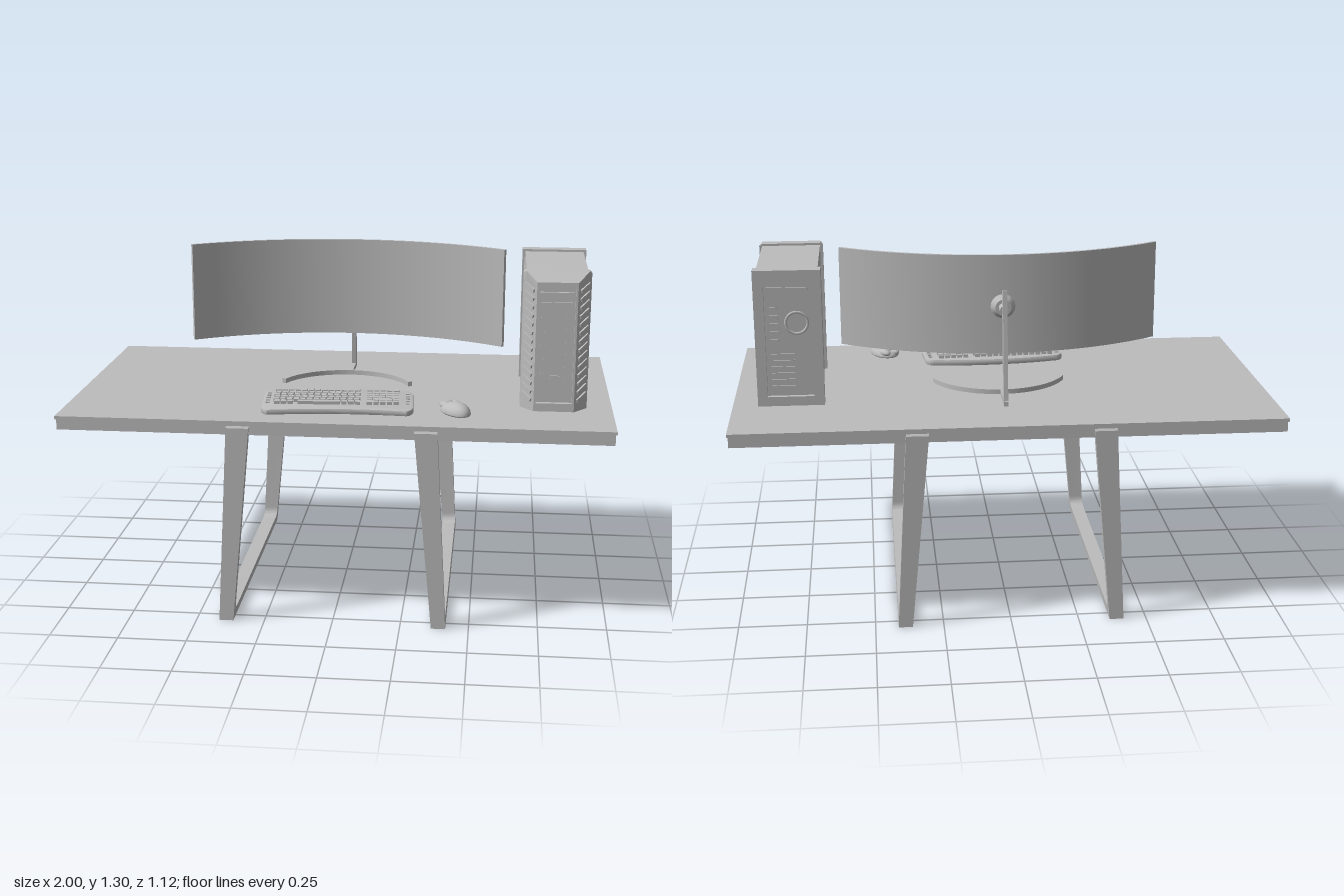
import * as THREE from 'three';
import { mergeGeometries, toCreasedNormals } from 'three/addons/utils/BufferGeometryUtils.js';
import { ConvexGeometry } from 'three/addons/geometries/ConvexGeometry.js';

const grey = new THREE.MeshStandardMaterial({ color: 0xbcbcbc });
grey.name = 'grey';

const DESK = 0.765;
const lerp = THREE.MathUtils.lerp;

function add(parent, name, geometry, x = 0, y = 0, z = 0) {
  const m = new THREE.Mesh(geometry, grey);
  m.name = name;
  m.position.set(x, y, z);
  parent.add(m);
  return m;
}
function group(parent, name) {
  const g = new THREE.Group();
  g.name = name;
  parent.add(g);
  return g;
}
const box = (w, h, d, x = 0, y = 0, z = 0) => new THREE.BoxGeometry(w, h, d).translate(x, y, z);
const poly = (pts) => new THREE.Shape(pts.map((p) => new THREE.Vector2(...p)));
const rect = (x0, y0, x1, y1) => poly([[x0, y0], [x1, y0], [x1, y1], [x0, y1]]);
const extrude = (shape, depth, opts = {}) => toCreasedNormals(
  new THREE.ExtrudeGeometry(shape, { depth, bevelEnabled: false, curveSegments: 32, ...opts }), 0.5);
// Shape drawn in (x, -z), raised along y
const raise = (shape, h, opts) => extrude(shape, h, opts).rotateX(-Math.PI / 2);

function framed(x0, y0, x1, y1, hx0, hy0, hx1, hy1) {
  const s = rect(x0, y0, x1, y1);
  s.holes.push(rect(hx0, hy0, hx1, hy1));
  return s;
}

// Curved strip bulging towards -z
function arcStrip(radius, centreZ, half, thick) {
  const s = new THREE.Shape();
  const a = Math.PI / 2 - half, b = Math.PI / 2 + half;
  s.absarc(0, -centreZ, radius, a, b, false);
  s.absarc(0, -centreZ, radius - thick, b, a, true);
  s.closePath();
  return s;
}

function buildDesk(root) {
  const desk = group(root, 'desk');
  add(desk, 'deskTop', box(2, 0.012, 1.11, 0, DESK - 0.006, 0));
  add(desk, 'deskRim', raise(framed(-0.995, -0.55, 0.995, 0.55, -0.955, -0.51, 0.955, 0.51), 0.04), 0, 0.714, 0);
  // Leg loops, leaning outwards and narrowing to the floor
  for (const side of [-1, 1]) {
    const s = new THREE.Shape();
    s.moveTo(-0.553, 0);
    s.lineTo(0.553, 0);
    s.lineTo(0.56, 0.74);
    s.lineTo(0.555, 0.746);
    s.lineTo(0.53, 0.746);
    s.lineTo(0.522, 0.07);
    s.quadraticCurveTo(0.522, 0.033, 0.485, 0.033);
    s.lineTo(-0.485, 0.033);
    s.quadraticCurveTo(-0.522, 0.033, -0.522, 0.07);
    s.lineTo(-0.53, 0.746);
    s.lineTo(-0.555, 0.746);
    s.lineTo(-0.56, 0.74);
    const g = new THREE.ExtrudeGeometry(s, { depth: 1, bevelEnabled: false, curveSegments: 8 }).rotateY(-Math.PI / 2);
    const p = g.attributes.position;
    for (let i = 0; i < p.count; i++) {
      const f = p.getY(i) / 0.746;
      p.setX(i, side * lerp(0.39, 0.335, f) + (p.getX(i) + 0.5) * lerp(0.052, 0.082, f));
    }
    g.computeVertexNormals();
    add(desk, side > 0 ? 'leftLegLoop' : 'rightLegLoop', toCreasedNormals(g, 0.5));
  }
}

function buildMonitor(root) {
  const mon = group(root, 'monitor');
  add(mon, 'curvedScreen', raise(arcStrip(1.07, 0.88, 0.595, 0.013), 0.372), 0, 0.93, 0);
  add(mon, 'footArc', raise(arcStrip(0.272, 0.1, 1.19, 0.016), 0.018), 0, DESK, 0);
  add(mon, 'footBar', box(0.016, 0.018, 0.16, 0, DESK + 0.009, -0.245));
  const post = poly([[-0.32, DESK], [-0.28, DESK], [-0.234, 1.18], [-0.272, 1.187]]);
  add(mon, 'post', extrude(post, 0.016).rotateY(-Math.PI / 2), 0.008, 0, 0);
  add(mon, 'mount', new THREE.CylinderGeometry(0.047, 0.03, 0.025, 28).rotateX(Math.PI / 2), 0, 1.11, -0.2);
  add(mon, 'mountNeck', new THREE.CylinderGeometry(0.018, 0.018, 0.06, 20).rotateX(Math.PI / 2), 0, 1.11, -0.23);
}

function buildTower(root) {
  const tower = group(root, 'tower');
  tower.position.set(0.785, DESK, 0);
  add(tower, 'case', box(0.222, 0.492, 0.455, 0, 0.254, 0.0));

  // Front bezel: a channel with chamfered corners and a sloping cap
  const channel = poly([[-0.122, -0.222], [0.122, -0.222], [0.122, -0.25], [0.073, -0.312], [0.065, -0.312],
    [0.065, -0.292], [-0.065, -0.292], [-0.065, -0.312], [-0.073, -0.312], [-0.122, -0.25]]);
  add(tower, 'frontBezel', raise(channel, 0.455));
  const cap = [];
  for (const s of [-1, 1]) {
    for (const [x, y, z] of [[0.122, 0.455, 0.222], [0.122, 0.455, 0.25], [0.073, 0.455, 0.312], [0.122, 0.5, 0.222],
      [0.112, 0.508, 0.222], [0.122, 0.5, 0.245], [0.112, 0.508, 0.268], [0.073, 0.475, 0.312]]) {
      cap.push(new THREE.Vector3(s * x, y, z));
    }
  }
  add(tower, 'frontCap', new ConvexGeometry(cap));
  add(tower, 'frontSill', box(0.13, 0.03, 0.022, 0, 0.015, 0.3));
  add(tower, 'frontDoor', extrude(poly([[-0.05, 0.05], [0.05, 0.05], [0.056, 0.4], [-0.056, 0.4]]), 0.008), 0, 0, 0.292);
  add(tower, 'driveTray', box(0.12, 0.025, 0.014, 0, 0.425, 0.298));
  add(tower, 'powerButton', box(0.034, 0.034, 0.008, 0, 0.115, 0.303));
  for (const s of [-1, 1]) {
    add(tower, 'doorRib', box(0.006, 0.3, 0.008, s * 0.038, 0.24, 0.302));
    // Slanted vent slats on the chamfered corners
    for (let i = 0; i < 14; i++) {
      const slat = add(tower, 'ventSlat', box(0.056, 0.013, 0.01), s * 0.0985, 0.05 + i * 0.031, 0.282);
      slat.rotation.set(0, Math.atan2(-0.062, -s * 0.049), -0.4);
    }
    // Stepped slots on the side panels
    for (let i = 0; i < 3; i++) {
      const z = -0.018 - i * 0.058, top = 0.3 + i * 0.07;
      const slot = framed(0, 0, 0, 0, 0, 0, 0, 0);
      slot.holes = [];
      slot.setFromPoints([[z, 0.035], [z, top], [z - 0.03, top + 0.045], [z - 0.03, 0.035]].map((p) => new THREE.Vector2(...p)));
      const t = 0.006;
      add(tower, 'sideSlot', extrude(slot, t).rotateY(-Math.PI / 2), s * 0.112 + t / 2, 0, 0);
    }
  }

  // Rear frame around a recessed panel
  add(tower, 'rearFrame', extrude(framed(-0.122, 0, 0.122, 0.508, -0.085, 0.035, 0.085, 0.45), 0.05), 0, 0, -0.245);
  const ports = [];
  for (let i = 0; i < 5; i++) ports.push(box(0.03, 0.022, 0.008, 0.052, 0.24 + i * 0.03, -0.23));
  for (let i = 0; i < 6; i++) ports.push(box(0.085, 0.009, 0.006, 0.025, 0.07 + i * 0.024, -0.23));
  add(tower, 'rearPorts', mergeGeometries(ports));
  add(tower, 'powerSupply', box(0.15, 0.045, 0.008, 0, 0.42, -0.23));
  add(tower, 'rearFan', new THREE.TorusGeometry(0.04, 0.005, 8, 28), -0.03, 0.31, -0.229);
}

function buildKeyboard(root) {
  const kb = group(root, 'keyboard');
  kb.position.set(0, 0.773, 0.315);
  kb.rotation.set(0.06, 0.06, 0, 'YXZ');
  const s = new THREE.Shape();
  s.moveTo(-0.25, -0.122);
  s.quadraticCurveTo(0, -0.085, 0.25, -0.122);
  s.quadraticCurveTo(0.275, -0.11, 0.27, -0.05);
  s.lineTo(0.27, 0.07);
  s.quadraticCurveTo(0.265, 0.1, 0.24, 0.103);
  s.bezierCurveTo(0.1, 0.14, -0.1, 0.14, -0.24, 0.103);
  s.quadraticCurveTo(-0.265, 0.1, -0.27, 0.07);
  s.lineTo(-0.27, -0.05);
  s.quadraticCurveTo(-0.275, -0.11, -0.25, -0.122);
  add(kb, 'keyboardBody', raise(s, 0.014, {
    curveSegments: 10, bevelEnabled: true, bevelThickness: 0.005, bevelSize: 0.006, bevelSegments: 2,
  }));
  // Main block and number pad; the last row carries the space bar
  const keys = [];
  const key = (x, z, w) => keys.push(box(w, 0.013, 0.019, x, 0.024, z));
  for (let r = 0; r < 6; r++) {
    const z = -0.078 + r * 0.025 + (r ? 0.006 : 0);
    for (let c = 0; c < 13; c++) {
      if (r === 5 && c > 2 && c < 9) continue;
      key(-0.225 + c * 0.0245 + (r % 2) * 0.004, z, 0.019);
    }
    if (r === 5) key(-0.078, z, 0.135);
    for (let c = 0; c < 5; c++) key(0.116 + c * 0.0245, z, 0.019);
  }
  for (const side of [-1, 1]) for (let i = 0; i < 5; i++) keys.push(box(0.014, 0.008, 0.014, side * 0.256, 0.02, -0.06 + i * 0.027));
  add(kb, 'keys', mergeGeometries(keys));
}

function buildMouse(root) {
  const mouse = group(root, 'mouse');
  mouse.position.set(0.435, DESK, 0.39);
  mouse.rotation.y = 0.5;
  // Domed body, flat underneath, lower at the nose
  const g = new THREE.SphereGeometry(1, 28, 18);
  const p = g.attributes.position;
  for (let i = 0; i < p.count; i++) {
    const x = p.getX(i), y = p.getY(i), z = p.getZ(i);
    p.setXYZ(i, x * 0.048 * (1 - 0.1 * z), 0.012 + (y > 0 ? y * (0.036 + 0.007 * z) : y * 0.012), z * 0.077);
  }
  g.computeVertexNormals();
  add(mouse, 'mouseBody', g);
  add(mouse, 'scrollWheel', new THREE.CylinderGeometry(0.01, 0.01, 0.008, 16).rotateZ(Math.PI / 2), 0, 0.037, -0.042);
  for (const side of [-1, 1]) {
    const b = add(mouse, 'mouseButton', new THREE.SphereGeometry(1, 16, 10), side * 0.02, 0.027, -0.042);
    b.scale.set(0.019, 0.014, 0.035);
  }
}

export function createModel() {
  const root = new THREE.Group();
  root.name = 'computerDesk';
  [buildDesk, buildMonitor, buildTower, buildKeyboard, buildMouse].forEach((build) => build(root));
  return root;
}
